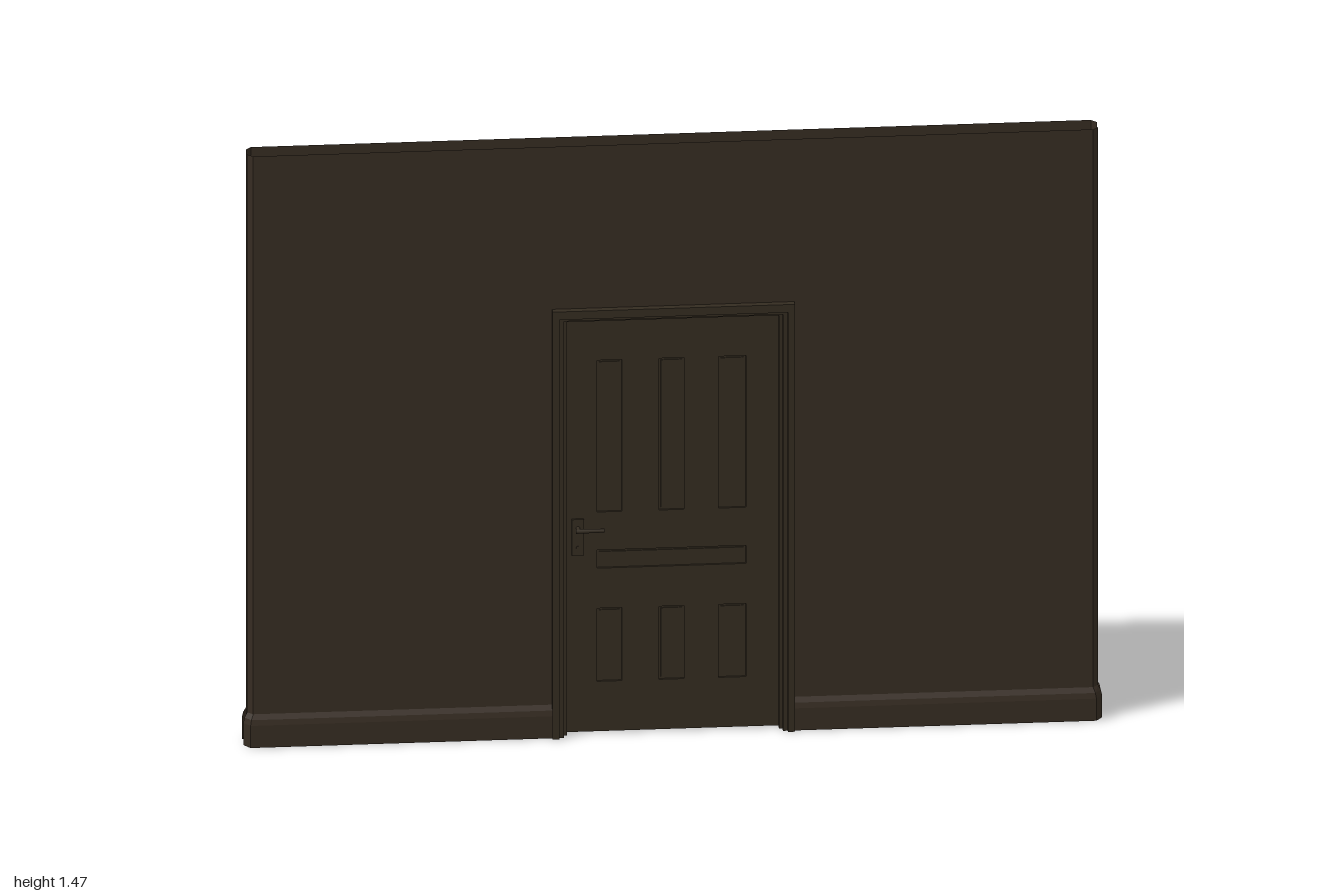
import * as THREE from 'three';

const wallMat = new THREE.MeshStandardMaterial({ color: 0x362c22, side: THREE.DoubleSide });
wallMat.name = 'dark brown wall';
const doorMat = new THREE.MeshStandardMaterial({ color: 0x342c21 });
doorMat.name = 'dark brown wood';

const WALL_H = 1.47, WALL_Z = 0.03, DOOR_Z = 0.014;

function add(parent, name, geometry, material, x = 0, y = 0, z = 0) {
  const mesh = new THREE.Mesh(geometry, material);
  mesh.name = name;
  mesh.position.set(x, y, z);
  parent.add(mesh);
  return mesh;
}

// Flat-faced strip through rows of [x, y, z] points
function loft(rows) {
  const pos = [];
  for (let i = 0; i < rows.length - 1; i++) {
    for (let j = 0; j < rows[i].length - 1; j++) {
      const a = rows[i][j], b = rows[i][j + 1], c = rows[i + 1][j + 1], d = rows[i + 1][j];
      pos.push(...a, ...b, ...c, ...a, ...c, ...d);
    }
  }
  const g = new THREE.BufferGeometry();
  g.setAttribute('position', new THREE.Float32BufferAttribute(pos, 3));
  g.computeVertexNormals();
  return g;
}

// Upside-down U outline around the doorway
function archShape(outerX, outerY, innerX, innerY) {
  return new THREE.Shape([
    [-outerX, 0], [-innerX, 0], [-innerX, innerY], [innerX, innerY],
    [innerX, 0], [outerX, 0], [outerX, outerY], [-outerX, outerY],
  ].map(([x, y]) => new THREE.Vector2(x, y)));
}

// Arch of the given full depth, centred on z = 0
function archGeometry(outerX, outerY, innerX, innerY, depth) {
  const g = new THREE.ExtrudeGeometry(archShape(outerX, outerY, innerX, innerY), { depth, bevelEnabled: false });
  return g.translate(0, 0, -depth / 2);
}

// One wall skin with turned-in ends and a moulded skirting board
function makeWallSide() {
  const side = new THREE.Group();
  add(side, 'wallSkin', new THREE.ShapeGeometry(archShape(0.978, WALL_H, 0.26, 1.05)), wallMat, 0, 0, WALL_Z);

  const skirting = [[0, 0], [0.01, 0], [0.01, 0.055], [0.007, 0.068], [0, 0.08]];
  for (const s of [-1, 1]) {
    const order = (list) => (s > 0 ? list : list.reverse());
    const corner = [[0.978, WALL_Z], [0.991, 0.016]];
    add(side, 'wallReturn', loft([0, WALL_H].map((y) => order(corner.map(([x, z]) => [s * x, y, z])))), wallMat);
    add(side, 'skirtingBoard', loft(skirting.map(([d, y]) => order([
      [s * 0.27, y, WALL_Z + d],
      [s * (0.978 + d * 0.7), y, WALL_Z + d],
      [s * (0.991 + d * 0.9), y, 0.016 + d * 0.3],
    ]))), wallMat);
  }
  return side;
}

// Panel openings: [left, bottom, right, top]
const columns = [[-0.176, -0.118], [-0.032, 0.027], [0.107, 0.171]];
const panels = [[-0.176, 0.41, 0.171, 0.455]];
for (const [l, r] of columns) panels.push([l, 0.55, r, 0.928], [l, 0.128, r, 0.31]);

function rectPoints(l, b, r, t) {
  return [[l, b], [r, b], [r, t], [l, t]].map(([x, y]) => new THREE.Vector2(x, y));
}

function makeDoor() {
  const door = new THREE.Group();
  door.name = 'door';
  const shape = new THREE.Shape(rectPoints(-0.25, 0.004, 0.25, 1.035));
  for (const p of panels) shape.holes.push(new THREE.Path(rectPoints(...p).reverse()));
  const leaf = new THREE.ExtrudeGeometry(shape, { depth: 2 * DOOR_Z, bevelEnabled: false });
  add(door, 'doorLeaf', leaf.translate(0, 0, -DOOR_Z), doorMat);

  // Sunken panels, each with a raised field
  for (const [l, b, r, t] of panels) {
    const x = (l + r) / 2, y = (b + t) / 2;
    add(door, 'doorPanel', new THREE.BoxGeometry(r - l, t - b, 0.016), doorMat, x, y);
    add(door, 'panelField', new THREE.BoxGeometry(r - l - 0.01, t - b - 0.01, 0.022), doorMat, x, y);
  }

  // Handles on both faces, at the same edge of the door
  for (const s of [-1, 1]) {
    const handle = new THREE.Group();
    handle.name = s > 0 ? 'frontHandle' : 'backHandle';
    add(handle, 'handlePlate', new THREE.BoxGeometry(0.028, 0.09, 0.006), doorMat, -0.221, 0.49, s * (DOOR_Z + 0.003));
    const neck = new THREE.CylinderGeometry(0.005, 0.005, 0.024, 12).rotateX(Math.PI / 2);
    add(handle, 'handleNeck', neck, doorMat, -0.221, 0.513, s * (DOOR_Z + 0.014));
    const lever = new THREE.CylinderGeometry(0.0045, 0.0055, 0.066, 12).rotateZ(-Math.PI / 2);
    add(handle, 'handleLever', lever, doorMat, -0.194, 0.513, s * (DOOR_Z + 0.025));
    const keyhole = new THREE.CylinderGeometry(0.004, 0.004, 0.003, 10).rotateX(Math.PI / 2);
    add(handle, 'keyhole', keyhole, doorMat, -0.221, 0.465, s * (DOOR_Z + 0.007));
    door.add(handle);
  }
  return door;
}

export function createModel() {
  const model = new THREE.Group();
  model.name = 'wallWithDoor';

  // Two skins, back to back
  const front = makeWallSide();
  front.name = 'frontWall';
  const back = makeWallSide();
  back.name = 'backWall';
  back.rotation.y = Math.PI;
  model.add(front, back);

  // Stepped door frame
  const frame = new THREE.Group();
  frame.name = 'doorFrame';
  add(frame, 'casing', archGeometry(0.282, 1.065, 0.266, 1.045, 0.096), doorMat);
  add(frame, 'jamb', archGeometry(0.266, 1.045, 0.255, 1.038, 0.08), doorMat);
  add(frame, 'doorStop', archGeometry(0.255, 1.038, 0.247, 1.03, 0.05), doorMat);
  model.add(frame, makeDoor());
  return model;
}
